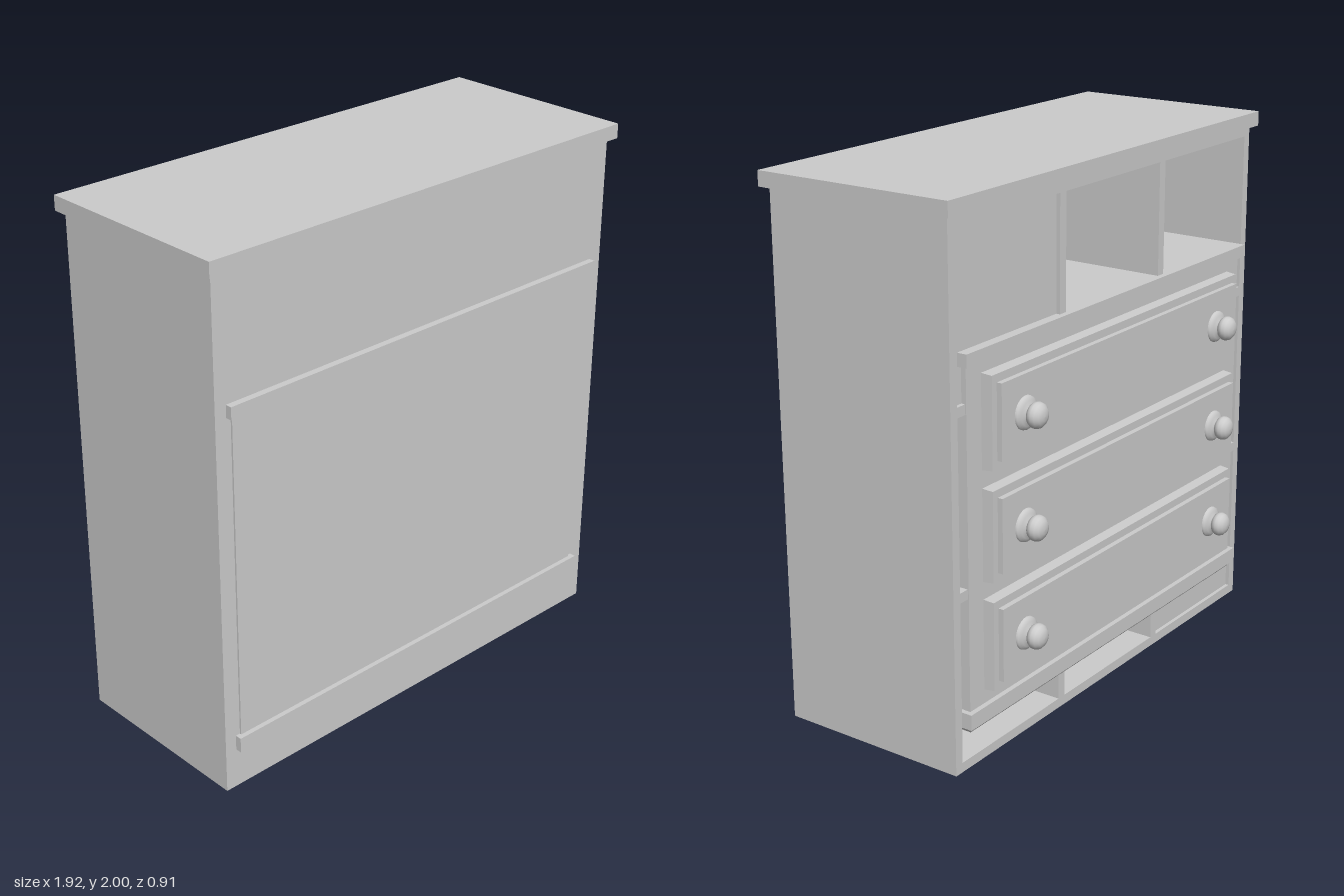
import * as THREE from 'three';

const material = new THREE.MeshStandardMaterial({ color: 0xcccccc });

// Box given by its lower and upper limits
function block(name, x0, x1, y0, y1, z0, z1) {
  const mesh = new THREE.Mesh(new THREE.BoxGeometry(x1 - x0, y1 - y0, z1 - z0), material);
  mesh.position.set((x0 + x1) / 2, (y0 + y1) / 2, (z0 + z1) / 2);
  mesh.name = name;
  return mesh;
}

// Box whose bottom or back face is drawn in by an inset
function taperedBlock(name, axis, inset, ...limits) {
  const mesh = block(name, ...limits);
  const p = mesh.geometry.attributes.position;
  const v = new THREE.Vector3();
  for (let i = 0; i < p.count; i++) {
    v.fromBufferAttribute(p, i);
    if (v[axis] < 0) {
      for (const a of ['x', 'y', 'z']) if (a !== axis) v[a] -= Math.sign(v[a]) * inset;
      p.setXYZ(i, v.x, v.y, v.z);
    }
  }
  mesh.geometry.computeVertexNormals();
  return mesh;
}

// Cabinet shell with a 3 x 3 grid of compartments open at -z
function createCabinet() {
  const g = new THREE.Group();
  g.name = 'cabinet';
  const L = -0.937, R = 0.931, H = 1.945, back = -0.31, front = 0.43, t = 0.036;
  g.add(
    block('frontPanel', L, R, 0, H, front - 0.03, front),
    block('rightSide', L, L + t, 0, H, back, front - 0.03),
    block('leftSide', R - t, R, 0, H, back, front - 0.03),
    block('floor', L + t, R - t, 0, t, back, front - 0.03),
    block('ceiling', L + t, R - t, H - t, H, back, front - 0.03),
    block('topBoard', -0.96, 0.958, H, 2, -0.335, 0.455)
  );
  for (const i of [1, 2]) {
    const x = L + ((R - L) * i) / 3;
    const y = (H * i) / 3;
    g.add(
      block('divider', x - t / 2, x + t / 2, t, H - t, back, front - 0.03),
      block('shelf', L + t, R - t, y - t / 2, y + t / 2, back, front - 0.03)
    );
  }
  // Doors set slightly into two of the compartments
  const w = (R - L) / 3, h = H / 3;
  g.add(
    block('upperDoor', R - w + t / 2, R - t, 2 * h + t / 2, H - t, back + 0.015, back + 0.04),
    block('lowerDoor', L + t, L + w - t / 2, t, h - t / 2, back + 0.015, back + 0.04)
  );
  return g;
}

// Round knob on a flared foot, pointing to -z
function createKnob() {
  const points = [
    [0.06, 0], [0.058, 0.008], [0.045, 0.016], [0.026, 0.02], [0.026, 0.024],
    [0.038, 0.029], [0.045, 0.04], [0.046, 0.05], [0.042, 0.063], [0.03, 0.074],
    [0.015, 0.079], [0, 0.08],
  ].map(([r, y]) => new THREE.Vector2(r, y));
  const knob = new THREE.Mesh(new THREE.LatheGeometry(points, 28), material);
  knob.rotation.x = -Math.PI / 2;
  knob.name = 'knob';
  return knob;
}

// Drawer front with a stepped panel and two knobs
function createDrawer(y) {
  const g = new THREE.Group();
  g.name = 'drawer';
  g.add(
    taperedBlock('drawerFront', 'z', 0.004, -0.792, 0.775, y - 0.168, y + 0.168, -0.355, -0.31),
    block('drawerPanel', -0.762, 0.745, y - 0.135, y + 0.135, -0.375, -0.355)
  );
  for (const x of [-0.615, 0.615]) {
    const knob = createKnob();
    knob.position.set(x, y, -0.375);
    g.add(knob);
  }
  return g;
}

// Chest of drawers passing right through the cabinet
function createChest() {
  const g = new THREE.Group();
  g.name = 'chest';
  g.add(
    block('chestBody', -0.873, 0.854, 0.2, 1.45, -0.314, 0.437),
    block('topMoulding', -0.891, 0.873, 1.443, 1.49, -0.333, 0.455),
    block('bottomMoulding', -0.891, 0.873, 0.155, 0.213, -0.333, 0.455),
    taperedBlock('bottomBevel', 'y', 0.018, -0.885, 0.867, 0.132, 0.155, -0.328, 0.449)
  );
  for (const y of [0.433, 0.833, 1.233]) g.add(createDrawer(y));
  return g;
}

export function createModel() {
  const model = new THREE.Group();
  model.name = 'dresser';
  model.add(createCabinet(), createChest());
  return model;
}
